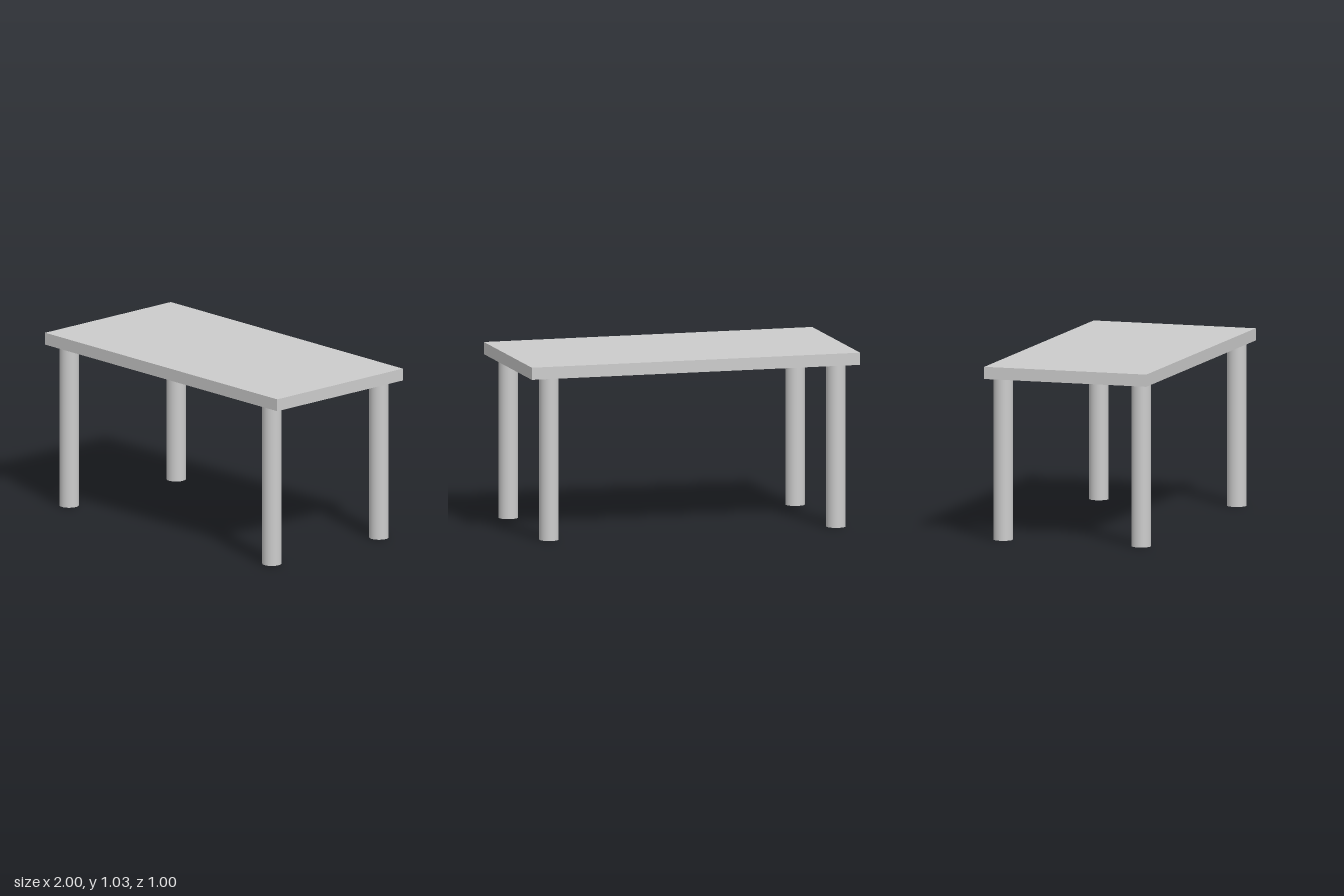
import * as THREE from 'three';

const LEG_HEIGHT = 0.962;
const TOP_THICKNESS = 0.072;
const LEG_RADIUS = 0.057;

export function createModel() {
  const table = new THREE.Group();
  table.name = 'table';
  const material = new THREE.MeshStandardMaterial({ color: 0xcccccc });

  // Flat rectangular slab
  const top = new THREE.Mesh(new THREE.BoxGeometry(2, TOP_THICKNESS, 1), material);
  top.name = 'tableTop';
  top.position.y = LEG_HEIGHT + TOP_THICKNESS / 2;
  table.add(top);

  // Four round legs, one near each corner
  const legGeometry = new THREE.CylinderGeometry(LEG_RADIUS, LEG_RADIUS, LEG_HEIGHT, 32);
  for (const [zName, z] of [['front', 1], ['back', -1]]) {
    for (const [xName, x] of [['Left', 1], ['Right', -1]]) {
      const leg = new THREE.Mesh(legGeometry, material);
      leg.name = `${zName}${xName}Leg`;
      leg.position.set(x * 0.874, LEG_HEIGHT / 2, z * 0.426);
      table.add(leg);
    }
  }
  return table;
}
